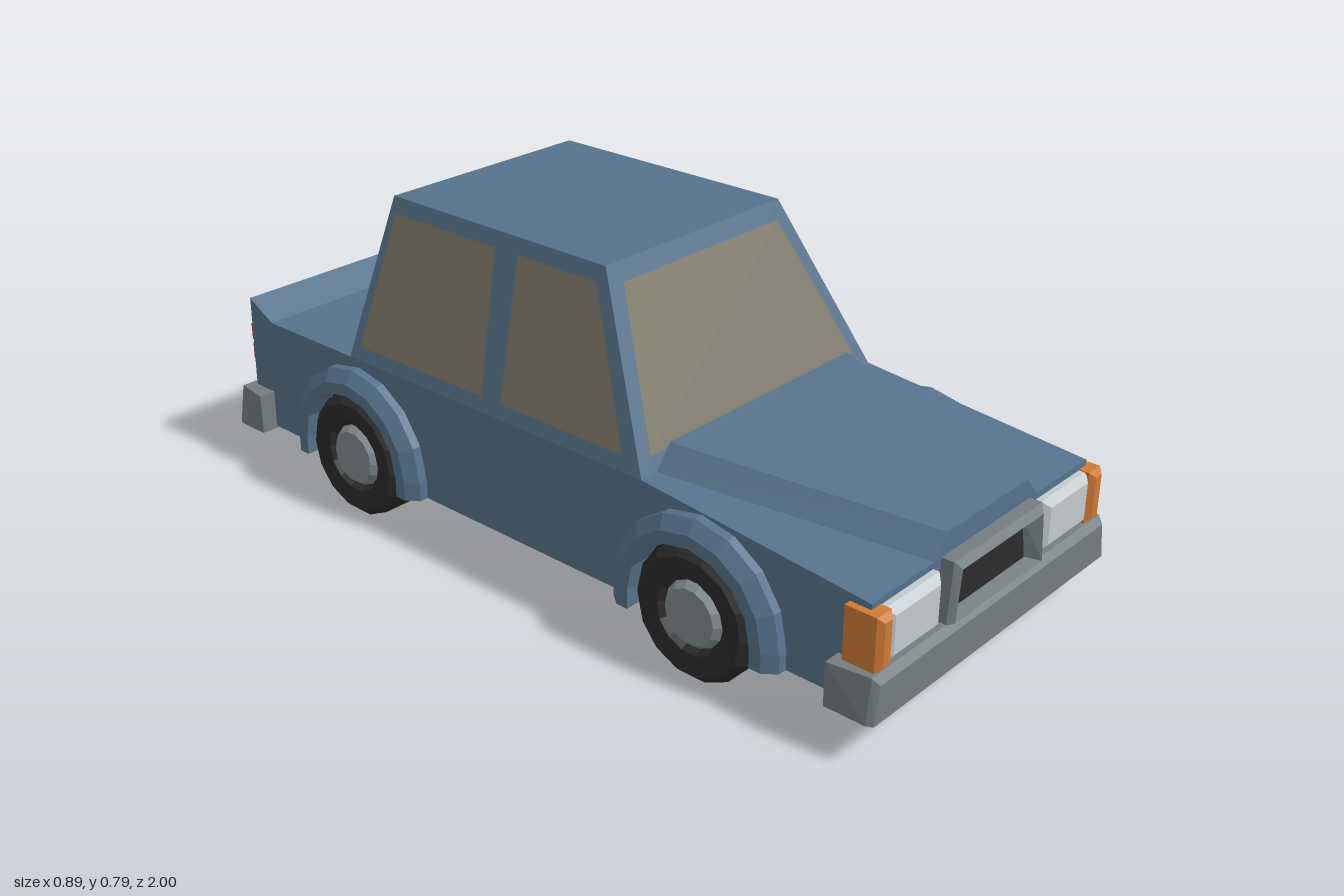
import * as THREE from 'three';

const mat = (name, color, extra = {}) => {
  const m = new THREE.MeshStandardMaterial({ color, flatShading: true, ...extra });
  m.name = name;
  return m;
};

// Closed solid from matching rings of points, oriented outwards by its signed volume
function loft(rings) {
  const n = rings[0].length, tris = [];
  for (let i = 0; i < rings.length - 1; i++) {
    for (let j = 0; j < n; j++) {
      const k = (j + 1) % n, a = rings[i], b = rings[i + 1];
      tris.push([a[j], a[k], b[k]], [a[j], b[k], b[j]]);
    }
  }
  const first = rings[0], last = rings[rings.length - 1];
  for (let j = 1; j < n - 1; j++) {
    tris.push([first[0], first[j + 1], first[j]], [last[0], last[j], last[j + 1]]);
  }
  let volume = 0;
  const v = (p) => new THREE.Vector3(...p);
  for (const [a, b, c] of tris) volume += v(a).dot(v(b).cross(v(c)));
  if (volume < 0) tris.forEach((t) => t.reverse());
  const g = new THREE.BufferGeometry();
  g.setAttribute('position', new THREE.Float32BufferAttribute(tris.flat(2), 3));
  g.computeVertexNormals();
  return g;
}

// Symmetric trapezium ring facing z: half widths at bottom and top
const trapezium = (wb, wt, y0, y1, z) => [[-wb, y0, z], [wb, y0, z], [wt, y1, z], [-wt, y1, z]];
const rect = (x0, x1, y0, y1, z) => [[x0, y0, z], [x1, y0, z], [x1, y1, z], [x0, y1, z]];

// Box whose outer z end is chamfered by c
function chamferBox(x0, x1, y0, y1, zIn, zOut, c) {
  const s = Math.sign(zOut - zIn);
  return loft([
    rect(x0, x1, y0, y1, zIn),
    rect(x0, x1, y0, y1, zOut - s * c),
    rect(x0 + c, x1 - c, y0 + c, y1 - c, zOut),
  ]);
}

export function createModel() {
  const car = new THREE.Group();
  car.name = 'car';
  const paint = mat('body paint', 0x56728b);
  const glass = mat('window glass', 0x7b7667, { side: THREE.DoubleSide });
  const trim = mat('grey trim', 0x747d80);
  const lamp = mat('headlight', 0xc3cacd);
  const amber = mat('amber lamp', 0xcf7a35);
  const red = mat('tail lamp', 0xbf2f3f);
  const rubber = mat('tyre rubber', 0x2b2b2b);
  const under = mat('underside', 0x1b1b1b);
  const hubGrey = mat('hub metal', 0x828b90);

  const add = (name, geometry, material, parent = car) => {
    const m = new THREE.Mesh(geometry, material);
    m.name = name;
    parent.add(m);
    return m;
  };

  const axleZ = 0.535, axleY = 0.155, well = 0.165, sill = 0.11;

  // Lower body: side profile with open wheel wells, extruded across the car
  const s = new THREE.Shape();
  s.moveTo(-0.86, sill);
  for (const u of [-axleZ, axleZ]) {
    s.lineTo(u - well, sill);
    s.lineTo(u - well, axleY);
    s.absarc(u, axleY, well, Math.PI, 0, true);
    s.lineTo(u + well, sill);
  }
  [[0.955, sill], [0.95, 0.445], [0.87, 0.4], [-0.37, 0.4], [-0.955, 0.345], [-0.955, 0.2]]
    .forEach(([u, y]) => s.lineTo(u, y));
  const body = new THREE.ExtrudeGeometry(s, { depth: 0.8, bevelEnabled: false, curveSegments: 8 });
  body.translate(0, 0, -0.4).rotateY(Math.PI / 2);
  // Floor and wheel wells are dark, the rest is painted
  body.clearGroups();
  const p = body.attributes.position;
  for (let i = 0; i < p.count; i += 3) {
    const [a, b, c] = [0, 1, 2].map((k) => new THREE.Vector3().fromBufferAttribute(p, i + k));
    const mid = a.clone().add(b).add(c).divideScalar(3);
    const n = b.sub(a).cross(c.sub(a)).normalize();
    const inWell = Math.hypot(Math.abs(mid.z) - axleZ, mid.y - axleY) < 0.18;
    const dark = Math.abs(n.x) < 0.5 && (n.y < -0.5 || inWell);
    body.addGroup(i, 3, dark ? 1 : 0);
  }
  add('lowerBody', body, [paint, under]);

  // Raised bonnet, widening toward the windscreen
  add('bonnet', loft([
    trapezium(0.195, 0.15, 0.34, 0.395, 0.955),
    trapezium(0.355, 0.31, 0.395, 0.455, 0.37),
  ]), paint);

  // Cabin
  const y0 = 0.4, y1 = 0.79;
  add('cabin', loft([
    [[-0.4, y0, 0.37], [0.4, y0, 0.37], [0.4, y0, -0.565], [-0.4, y0, -0.565]],
    [[-0.29, y1, 0.17], [0.29, y1, 0.17], [0.29, y1, -0.5], [-0.29, y1, -0.5]],
  ]), paint);

  // Window panes lie just proud of the sloping cabin faces
  const slope = (from, to) => (y) => from + ((to - from) * (y - y0)) / (y1 - y0);
  const sideX = slope(0.4, 0.29), frontZ = slope(0.37, 0.17), backZ = slope(-0.565, -0.5);
  const lift = 0.004;
  const pane = (name, corners, place) => {
    const [a, b, c, d] = corners.map(place);
    const g = new THREE.BufferGeometry();
    g.setAttribute('position', new THREE.Float32BufferAttribute([a, b, c, a, c, d].flat(), 3));
    g.computeVertexNormals();
    add(name, g, glass);
  };
  const screen = [[-0.355, 0.435], [0.355, 0.435], [0.26, 0.752], [-0.26, 0.752]];
  pane('windscreen', screen, ([x, y]) => [x, y, frontZ(y) + lift]);
  pane('rearWindow', screen.map(([x, y]) => [-x, y]), ([x, y]) => [x, y, backZ(y) - lift]);
  const frontPane = [[0.31, 0.435], [-0.055, 0.435], [-0.08, 0.755], [0.157, 0.755]];
  const rearPane = [[-0.115, 0.435], [-0.53, 0.435], [-0.483, 0.755], [-0.15, 0.755]];
  for (const side of [1, -1]) {
    const place = ([z, y]) => [side * (sideX(y) + lift), y, z];
    const order = (q) => (side > 0 ? q : [...q].reverse());
    pane('frontSideWindow', order(frontPane), place);
    pane('rearSideWindow', order(rearPane), place);
  }

  // Bumpers
  for (const e of [1, -1]) {
    const end = e > 0 ? 1 : 0.988;
    add(e > 0 ? 'frontBumper' : 'rearBumper', loft([
      trapezium(0.443, 0.443, 0.105, 0.207, e * 0.885),
      trapezium(0.443, 0.43, 0.105, 0.207, e * (end - 0.015)),
      trapezium(0.435, 0.42, 0.105, 0.192, e * end),
    ]), trim);
  }

  // Grille: frame sloping in to a dark recessed panel
  add('grilleFrame', loft([
    trapezium(0.178, 0.165, 0.205, 0.345, 0.94),
    trapezium(0.178, 0.165, 0.205, 0.345, 0.985),
    trapezium(0.165, 0.152, 0.21, 0.328, 0.998),
    trapezium(0.14, 0.12, 0.218, 0.322, 0.965),
  ]), trim);
  add('grillePanel', loft([
    trapezium(0.14, 0.12, 0.218, 0.322, 0.962),
    trapezium(0.14, 0.12, 0.218, 0.322, 0.968),
  ]), rubber);

  // Chamfered, flat sided tyre
  const tyre = new THREE.LatheGeometry(
    [[0, -0.06], [0.135, -0.065], [0.155, -0.048], [0.155, 0.048], [0.138, 0.065], [0.09, 0.06], [0.08, 0.045], [0, 0.045]]
      .map(([r, y]) => new THREE.Vector2(r, y)), 14).rotateZ(-Math.PI / 2);
  const hub = new THREE.CylinderGeometry(0.065, 0.081, 0.02, 14).translate(0, 0.052, 0).rotateZ(-Math.PI / 2);

  for (const side of [1, -1]) {
    const label = side > 0 ? 'left' : 'right';
    const span = (a, b) => (side > 0 ? [a, b] : [-b, -a]);
    // Lamps
    add(label + 'Headlight', chamferBox(...span(0.192, 0.376), 0.208, 0.33, 0.93, 0.985, 0.016), lamp);
    add(label + 'Indicator', chamferBox(...span(0.37, 0.417), 0.208, 0.332, 0.905, 0.992, 0.012), amber);
    add(label + 'TailLampBase', chamferBox(...span(0.19, 0.38), 0.26, 0.36, -0.94, -0.985, 0.008), red);
    for (const y of [0.262, 0.315]) {
      add(label + 'TailLampBar', chamferBox(...span(0.193, 0.377), y, y + 0.043, -0.97, -1, 0.012), red);
    }

    for (const end of [1, -1]) {
      // Wheel arch: bevelled section swept over the wheel, with short straight legs
      const cz = end * axleZ;
      const section = [[0.225, 0.39], [0.225, 0.422], [0.195, 0.445], [well, 0.445], [well, 0.39]];
      const ring = (angle, leg) => section.map(([r, x]) => [
        side * x, leg ? sill : axleY + r * Math.sin(angle), cz + r * Math.cos(angle)]);
      const rings = [ring(0, true)];
      for (let i = 0; i <= 8; i++) rings.push(ring((i * Math.PI) / 8, false));
      rings.push(ring(Math.PI, true));
      add('wheelArch', loft(rings), paint);

      const wheel = new THREE.Group();
      wheel.name = label + (end > 0 ? 'FrontWheel' : 'RearWheel');
      wheel.position.set(side * 0.375, axleY, cz);
      if (side < 0) wheel.rotation.y = Math.PI;
      add('tyre', tyre, rubber, wheel);
      add('hub', hub, hubGrey, wheel);
      car.add(wheel);
    }
  }
  return car;
}
